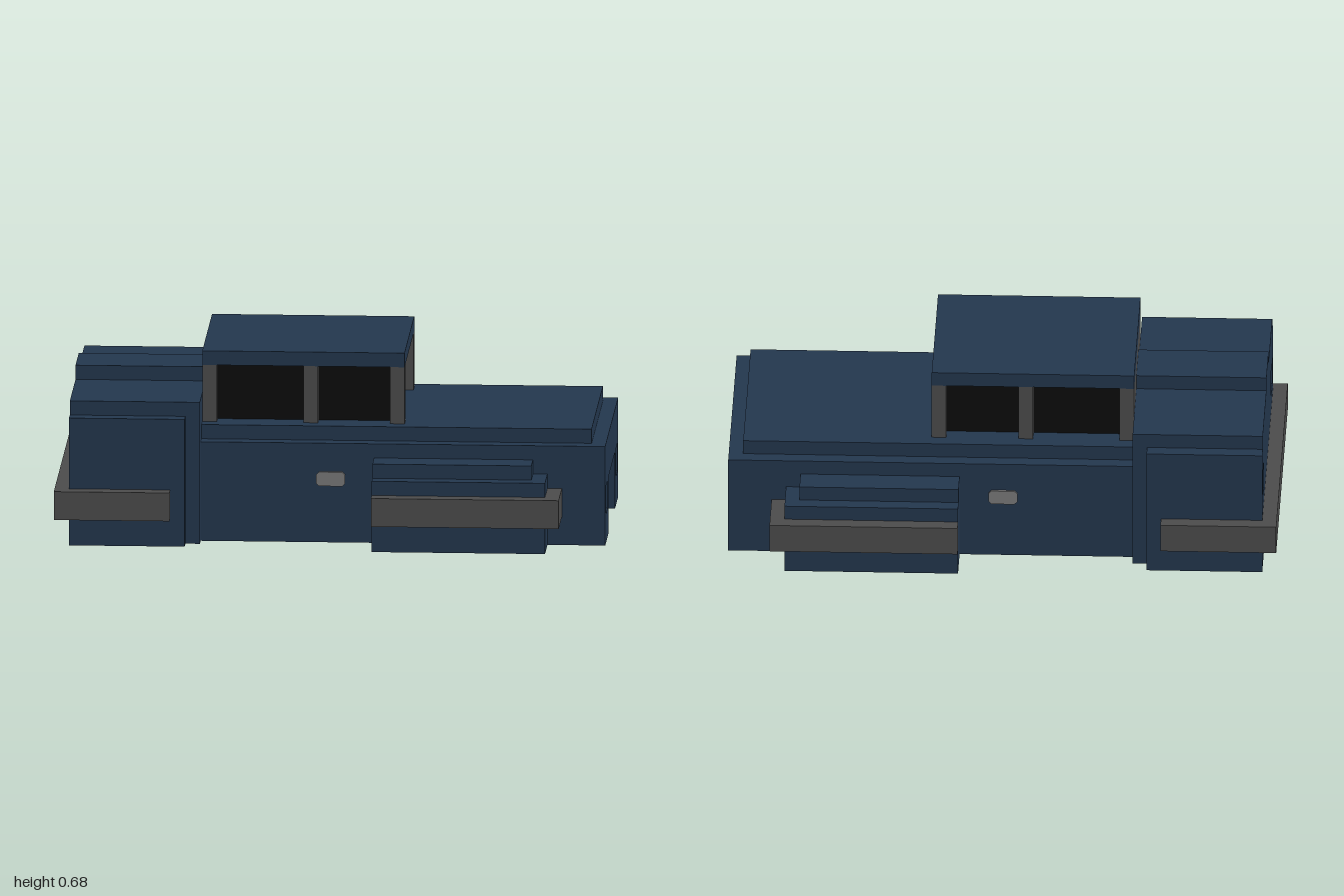
import * as THREE from 'three';

const U = 2 / 38; // one block; the car is 38 blocks long, nose towards +x

export function createModel() {
  const car = new THREE.Group();
  car.name = 'blockCar';
  const mat = (name, color) => {
    const m = new THREE.MeshStandardMaterial({ color });
    m.name = name;
    return m;
  };
  const paint = mat('bluePaint', 0x24384f);
  const trim = mat('greyTrim', 0x4d4d4d);
  const glass = mat('blackGlass', 0x0d0d0d);
  const light = mat('lightGrey', 0x7c7c7c);

  const add = (name, geometry, material) => {
    const mesh = new THREE.Mesh(geometry, material);
    mesh.name = name;
    car.add(mesh);
    return mesh;
  };
  // Box between block coordinates; x is counted from the rear bumper
  const box = (name, m, x0, x1, y0, y1, z0, z1) => {
    const g = new THREE.BoxGeometry((x1 - x0) * U, (y1 - y0) * U, (z1 - z0) * U);
    g.translate((x0 + x1) / 2 * U - 1, (y0 + y1) / 2 * U, (z0 + z1) / 2 * U);
    return add(name, g, m);
  };
  const centred = (name, m, x0, x1, y0, y1, z) => box(name, m, x0, x1, y0, y1, -z, z);
  const pair = (name, m, x0, x1, y0, y1, z0, z1) => {
    box(name + 'Left', m, x0, x1, y0, y1, z0, z1);
    box(name + 'Right', m, x0, x1, y0, y1, -z1, -z0);
  };
  // Upright panel across the car with a pair of square lamp openings
  const panel = (name, outline, x0, x1, y0, y1, z0, z1) => {
    const pts = (list) => list.map(([z, y]) => new THREE.Vector2(z * U, y * U));
    const shape = new THREE.Shape(pts(outline));
    for (const s of [-1, 1]) {
      shape.holes.push(new THREE.Path(pts([[s * z0, y0], [s * z1, y0], [s * z1, y1], [s * z0, y1]])));
    }
    const g = new THREE.ExtrudeGeometry(shape, { depth: (x1 - x0) * U, bevelEnabled: false });
    g.rotateY(Math.PI / 2);
    g.translate(x0 * U - 1, 0, 0);
    add(name, g, paint);
  };

  // Main body and raised bonnet
  centred('body', paint, 10, 36, 0, 7, 8);
  centred('bonnet', paint, 10, 37, 7, 8, 7);

  // Nose with lamp openings and a grille notch
  panel('nose', [[-8, 0], [-4, 0], [-4, 4], [4, 4], [4, 0], [8, 0], [8, 7], [-8, 7]], 36, 38, 2, 4, 5, 7);
  pair('headlight', light, 36, 37, 2, 4, 5, 7);
  centred('grilleBack', glass, 36, 36.1, 0, 4, 4);
  for (const y of [0, 2]) centred('grilleBar', trim, 36.1, 37, y, y + 1, 4);

  // Stepped rear body
  centred('rearSides', paint, 2, 9, 0, 9, 10);
  centred('rearCore', paint, 2, 10, 0, 10, 9);
  centred('rearRidge', paint, 1, 10, 10, 11, 2);
  panel('tail', [[-10, 0], [10, 0], [10, 9], [9, 9], [9, 10], [-9, 10], [-9, 9], [-10, 9]], 1, 2, 5, 7, 7, 9);
  pair('tailLight', light, 1.9, 2.05, 5, 7, 7, 9);

  // Rear bumper wrapping round both sides
  centred('rearBumper', trim, 0, 1, 2, 4, 11);
  pair('rearBumperSide', trim, 1, 8, 2, 4, 10, 11);

  // Front fenders with wrapping bumpers
  pair('fender', paint, 22, 34, 0, 5, 8, 11);
  pair('fenderTop', paint, 22, 33, 5, 6, 8, 10);
  pair('fenderBumperSide', trim, 22, 35, 2, 4, 11, 12);
  pair('fenderBumperFront', trim, 34, 35, 2, 4, 8, 11);

  // Cabin: recessed glass, pillars, rear wall and roof
  centred('cabinGlass', glass, 11, 23, 8, 12, 5);
  for (const x of [10, 17, 23]) pair('pillar', trim, x, x + 1, 8, 12, 5, 6);
  centred('cabinRearWall', trim, 10, 11, 8, 12, 5);
  centred('roof', paint, 10, 24, 12, 13, 6);

  // Door handles: flat plates with clipped corners
  const c = 0.2;
  const handle = new THREE.Shape([[-1 + c, -0.5], [1 - c, -0.5], [1, -0.5 + c], [1, 0.5 - c],
    [1 - c, 0.5], [-1 + c, 0.5], [-1, 0.5 - c], [-1, -0.5 + c]]
    .map(([x, y]) => new THREE.Vector2(x * U, y * U)));
  for (const s of [1, -1]) {
    const g = new THREE.ExtrudeGeometry(handle, { depth: 0.009, bevelEnabled: false });
    if (s < 0) g.rotateY(Math.PI);
    g.translate(0, 4.5 * U, s * 8 * U);
    add(s > 0 ? 'doorHandleLeft' : 'doorHandleRight', g, light);
  }
  return car;
}
